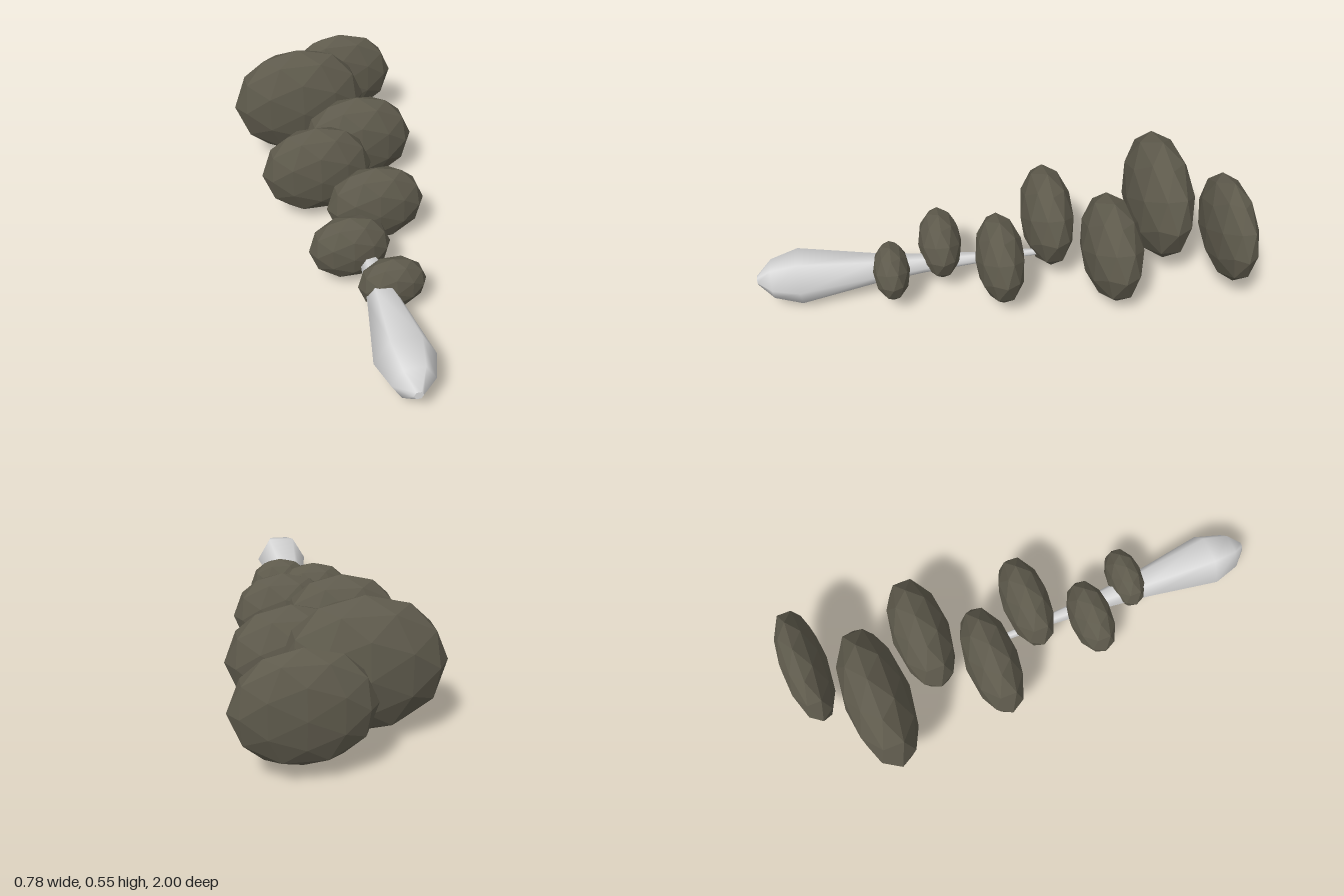
import * as THREE from 'three';

const rock = new THREE.MeshStandardMaterial({ color: 0x5e5a4c, flatShading: true });
rock.name = 'dark rock';
const pale = new THREE.MeshStandardMaterial({ color: 0xdadada });
pale.name = 'pale grey';

export function createModel() {
  const model = new THREE.Group();
  model.name = 'model';

  // six-sided tapering stem along z, as [radius, z] from tail to nose
  const profile = [
    [0, -0.2], [0.012, -0.2], [0.022, 0.08], [0.04, 0.33],
    [0.063, 0.53], [0.114, 0.83], [0.08, 0.94], [0.018, 1],
  ].map(([r, z]) => new THREE.Vector2(r, z));
  const stem = new THREE.Mesh(new THREE.LatheGeometry(profile, 6, Math.PI / 2), pale);
  stem.geometry.rotateX(Math.PI / 2);
  stem.position.y = 0.133;
  stem.name = 'stem';
  model.add(stem);

  // flat tip at the nose
  const tip = new THREE.Mesh(new THREE.CircleGeometry(0.018, 6), pale);
  tip.position.set(0, 0.133, 1);
  tip.name = 'stemTip';
  model.add(tip);

  // flattened faceted lobes, alternating sides: centre x, y, z, then radii x, y, z
  const lobes = [
    [0.05, 0.153, 0.463, 0.133, 0.114, 0.075],
    [-0.067, 0.18, 0.253, 0.163, 0.14, 0.09],
    [0.092, 0.195, 0.025, 0.204, 0.175, 0.1],
    [-0.106, 0.24, -0.205, 0.235, 0.204, 0.11],
    [0.12, 0.215, -0.43, 0.246, 0.213, 0.121],
    [-0.095, 0.298, -0.68, 0.298, 0.257, 0.133],
    [0.145, 0.278, -0.908, 0.246, 0.212, 0.092],
  ];
  const lobeGeometry = new THREE.IcosahedronGeometry(1, 1);
  lobes.forEach(([x, y, z, rx, ry, rz], i) => {
    const lobe = new THREE.Mesh(lobeGeometry, rock);
    lobe.position.set(x, y, z);
    lobe.scale.set(rx, ry, rz);
    lobe.name = `lobe${i + 1}`;
    model.add(lobe);
  });

  return model;
}
